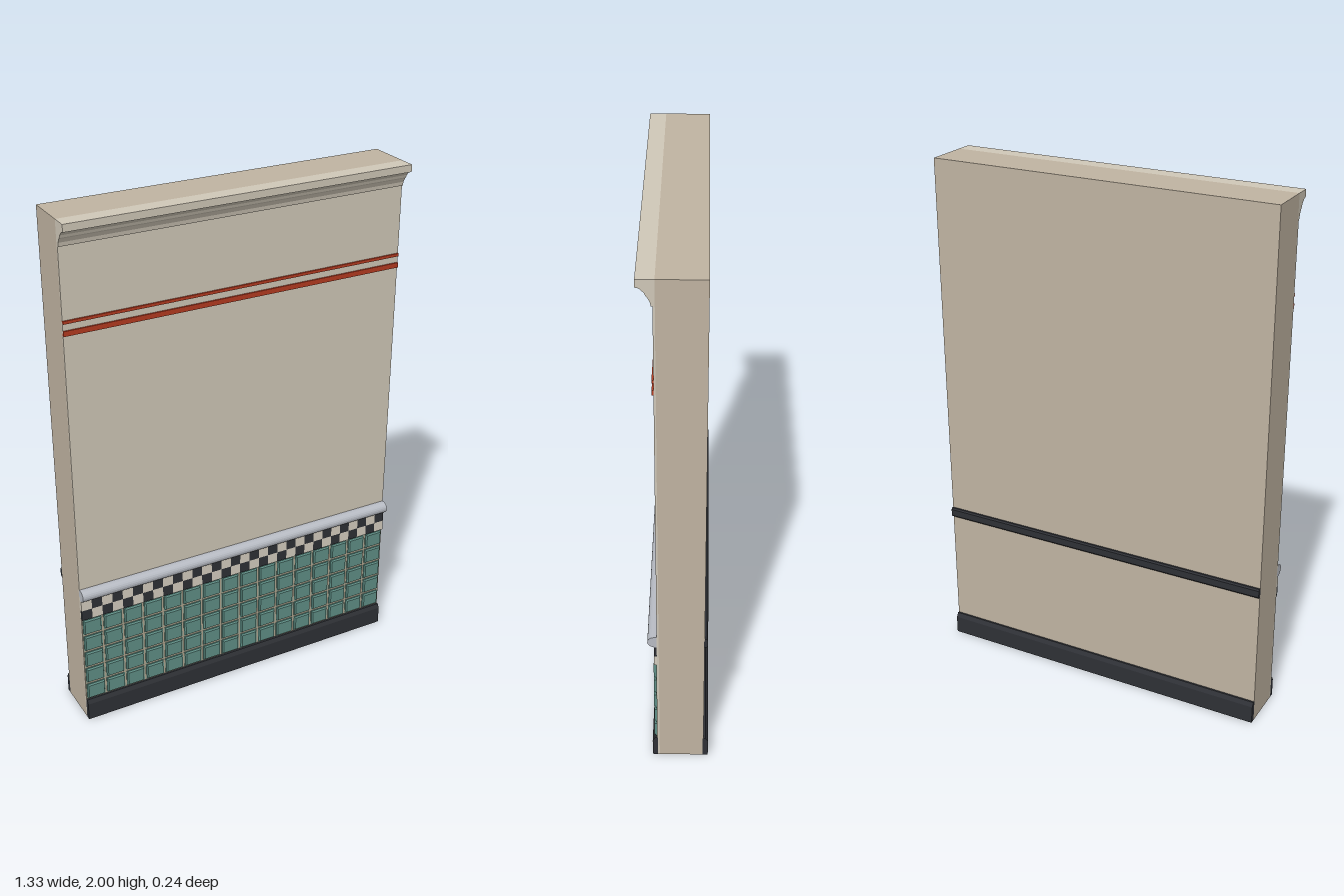
import * as THREE from 'three';

const W = 1.333, L = -W / 2;
const mat = (color) => new THREE.MeshStandardMaterial({ color, flatShading: true });
const M = {
  wall: mat(0xc0b4a2), plaster: mat(0xd0c8b8), dark: mat(0x2e3035), red: mat(0xb53a20),
  teal: mat(0x5f8f86), cream: mat(0xd6cfc0), grout: mat(0xb0a690),
  chrome: new THREE.MeshStandardMaterial({ color: 0xb8bcc4 }),
};

export function createModel() {
  const model = new THREE.Group();
  const add = (name, geometry, material, parent = model) => {
    const mesh = new THREE.Mesh(geometry, material);
    mesh.name = name;
    parent.add(mesh);
    return mesh;
  };
  // Box given by its limits
  const box = (name, x0, x1, y0, y1, z0, z1, material, parent) =>
    add(name, new THREE.BoxGeometry(x1 - x0, y1 - y0, z1 - z0), material, parent)
      .position.set((x0 + x1) / 2, (y0 + y1) / 2, (z0 + z1) / 2);
  // Moulding: a [z, y] profile swept over the full width
  const moulding = (name, profile, material) => {
    const shape = new THREE.Shape(profile.map(([z, y]) => new THREE.Vector2(-z, y)));
    const geo = new THREE.ExtrudeGeometry(shape, { depth: W, bevelEnabled: false });
    geo.rotateY(Math.PI / 2).translate(L, 0, 0);
    return add(name, geo, material);
  };

  // Wall core and plastered front
  box('wall', L, -L, 0, 2, -0.103, 0.06, M.wall);
  box('plasterFace', L, -L, 0, 2, 0.06, 0.067, M.plaster);

  // Cornice with stepped cove
  moulding('cornice', [[0.062, 1.91], [0.072, 1.91], [0.075, 1.925], [0.083, 1.94], [0.088, 1.945],
    [0.092, 1.955], [0.102, 1.965], [0.108, 1.97], [0.12, 1.973], [0.12, 2], [0.062, 2]], M.plaster);

  // Painted stripes
  box('wideStripe', L, -L, 1.597, 1.616, 0.06, 0.073, M.red);
  box('narrowStripe', L, -L, 1.641, 1.652, 0.06, 0.073, M.red);

  // Rounded dado rail
  const rail = [[0.062, 0.54], [0.077, 0.54]];
  for (let i = 0; i <= 10; i++) {
    const a = -Math.PI / 2 + (i / 10) * Math.PI;
    rail.push([0.078 + 0.022 * Math.cos(a), 0.565 + 0.022 * Math.sin(a)]);
  }
  rail.push([0.062, 0.587]);
  moulding('dadoRail', rail, M.chrome);

  // Skirting boards and back rail
  moulding('frontSkirting', [[0.062, 0], [0.086, 0], [0.086, 0.07], [0.077, 0.086], [0.062, 0.086]], M.dark);
  moulding('backSkirting', [[-0.1, 0], [-0.1, 0.086], [-0.11, 0.086], [-0.12, 0.07], [-0.12, 0]], M.dark);
  moulding('backRail', [[-0.1, 0.544], [-0.1, 0.582], [-0.11, 0.582], [-0.115, 0.576],
    [-0.115, 0.55], [-0.11, 0.544]], M.dark);

  // Checker band, two rows
  const checker = new THREE.Group();
  checker.name = 'checkerBand';
  model.add(checker);
  const cw = W / 32, ch = 0.042;
  for (let r = 0; r < 2; r++) {
    for (let c = 0; c < 32; c++) {
      const x = L + c * cw, y = 0.456 + r * ch;
      box('checkerTile', x, x + cw, y, y + ch, 0.062, 0.077, (r + c) % 2 ? M.cream : M.dark, checker);
    }
  }
  // Top row begins light, bottom row begins dark
  checker.children.forEach((tile, i) => {
    tile.material = (Math.floor(i / 32) + i) % 2 ? M.cream : M.dark;
  });

  // Bevelled wall tiles on a grout bed
  box('groutBed', L, -L, 0.086, 0.456, 0.062, 0.069, M.grout);
  const tiles = new THREE.Group();
  tiles.name = 'wallTiles';
  model.add(tiles);
  const tw = W / 16, th = 0.074, gap = 0.004, bevel = 0.006;
  const tileGeo = new THREE.BoxGeometry(tw - 2 * gap, th - 2 * gap, 0.014);
  const p = tileGeo.attributes.position;
  const sideGeo = tileGeo.clone().translate(0, 0, -0.005);
  sideGeo.scale(1, 1, 0.8);
  for (let i = 0; i < p.count; i++) {
    if (p.getZ(i) > 0) {
      p.setX(i, p.getX(i) - Math.sign(p.getX(i)) * bevel);
      p.setY(i, p.getY(i) - Math.sign(p.getY(i)) * bevel);
    }
  }
  tileGeo.computeVertexNormals();
  for (let r = 0; r < 5; r++) {
    for (let c = 0; c < 16; c++) {
      const x = L + (c + 0.5) * tw, y = 0.086 + (r + 0.5) * th;
      add('tileFace', tileGeo, M.teal, tiles).position.set(x, y, 0.072);
      add('tileBase', sideGeo, M.teal, tiles).position.set(x, y, 0.07);
    }
  }
  return model;
}
